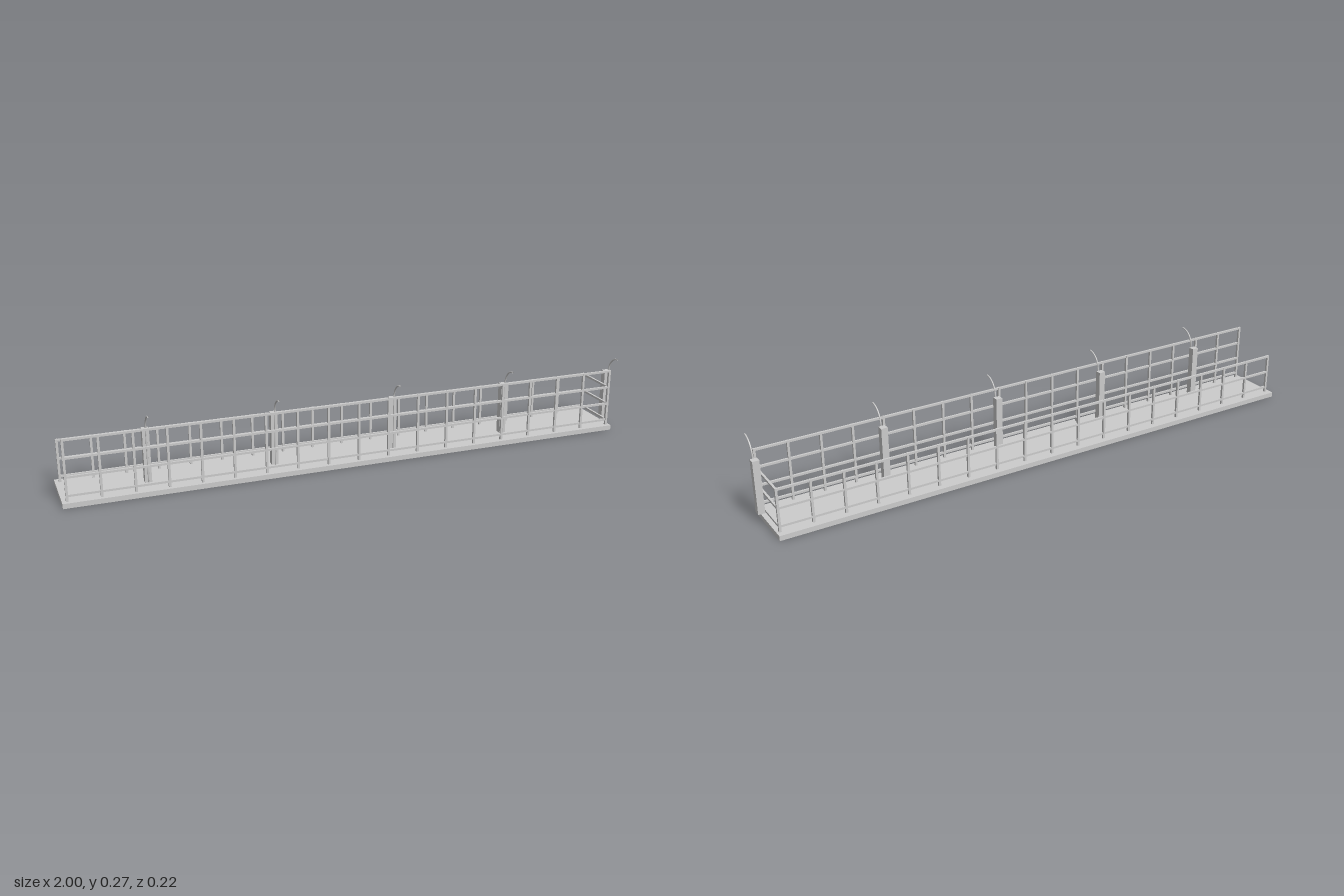
import * as THREE from 'three';

const material = new THREE.MeshStandardMaterial({ color: 0xcccccc });
const BAR = 0.008;
const FLOOR = 0.016;
const LEFT_X = 0.973, RIGHT_X = -0.983;
const FRONT_Z = 0.086, BACK_Z = -0.082;

function addBox(parent, name, w, h, d, x, y, z) {
  const mesh = new THREE.Mesh(new THREE.BoxGeometry(w, h, d), material);
  mesh.name = name;
  mesh.position.set(x, y, z);
  parent.add(mesh);
}

// Long railing: evenly spaced posts joined by horizontal rails
function longRailing(name, z, railHeights, bays) {
  const group = new THREE.Group();
  group.name = name;
  const length = LEFT_X - RIGHT_X;
  const top = railHeights[railHeights.length - 1] + BAR / 2;
  for (let i = 0; i <= bays; i++) {
    const x = RIGHT_X + (length * i) / bays;
    addBox(group, 'railingPost', BAR, top - FLOOR, BAR, x, (top + FLOOR) / 2, z);
  }
  for (const y of railHeights) {
    addBox(group, 'railingRail', length, BAR * 0.9, BAR * 0.9, (LEFT_X + RIGHT_X) / 2, y, z);
  }
  return group;
}

// Square column with a thin pole in front of it that curls forward
function hookedColumn(x) {
  const group = new THREE.Group();
  group.name = 'hookedColumn';
  addBox(group, 'column', 0.023, 0.183, 0.022, 0, 0.1195, 0.041);

  const path = new THREE.CurvePath();
  const bendY = 0.212, poleZ = 0.057, reach = 0.052, rise = 0.058;
  path.add(new THREE.LineCurve3(
    new THREE.Vector3(0, 0.028, poleZ), new THREE.Vector3(0, bendY, poleZ)));
  const k = 0.5523;
  path.add(new THREE.CubicBezierCurve3(
    new THREE.Vector3(0, bendY, poleZ),
    new THREE.Vector3(0, bendY + rise * k, poleZ),
    new THREE.Vector3(0, bendY + rise, poleZ + reach * (1 - k)),
    new THREE.Vector3(0, bendY + rise, poleZ + reach)));
  const pole = new THREE.Mesh(new THREE.TubeGeometry(path, 48, 0.0026, 8),
    new THREE.MeshStandardMaterial({ color: 0xcccccc, side: THREE.DoubleSide }));
  pole.name = 'hookedPole';
  group.add(pole);
  group.position.x = x;
  return group;
}

export function createModel() {
  const model = new THREE.Group();
  model.name = 'railedPlatform';

  // Deck
  addBox(model, 'deck', 1.985, 0.017, 0.21, -0.0075, 0.0085, -0.002);

  // Tall front railing and lower back railing
  const rails = [0.036, 0.098, 0.161];
  model.add(longRailing('frontRailing', FRONT_Z, [...rails, 0.222], 18));
  model.add(longRailing('backRailing', BACK_Z, rails, 18));

  // Short railing closing the left end; the right end stays open
  const end = new THREE.Group();
  end.name = 'endRailing';
  for (const y of rails) {
    addBox(end, 'endRail', BAR * 0.9, BAR * 0.9, FRONT_Z - BACK_Z, LEFT_X, y, (FRONT_Z + BACK_Z) / 2);
  }
  model.add(end);

  // Row of hooked columns along the front
  for (let i = 0; i < 5; i++) model.add(hookedColumn(-0.719 + i * 0.42675));

  return model;
}
